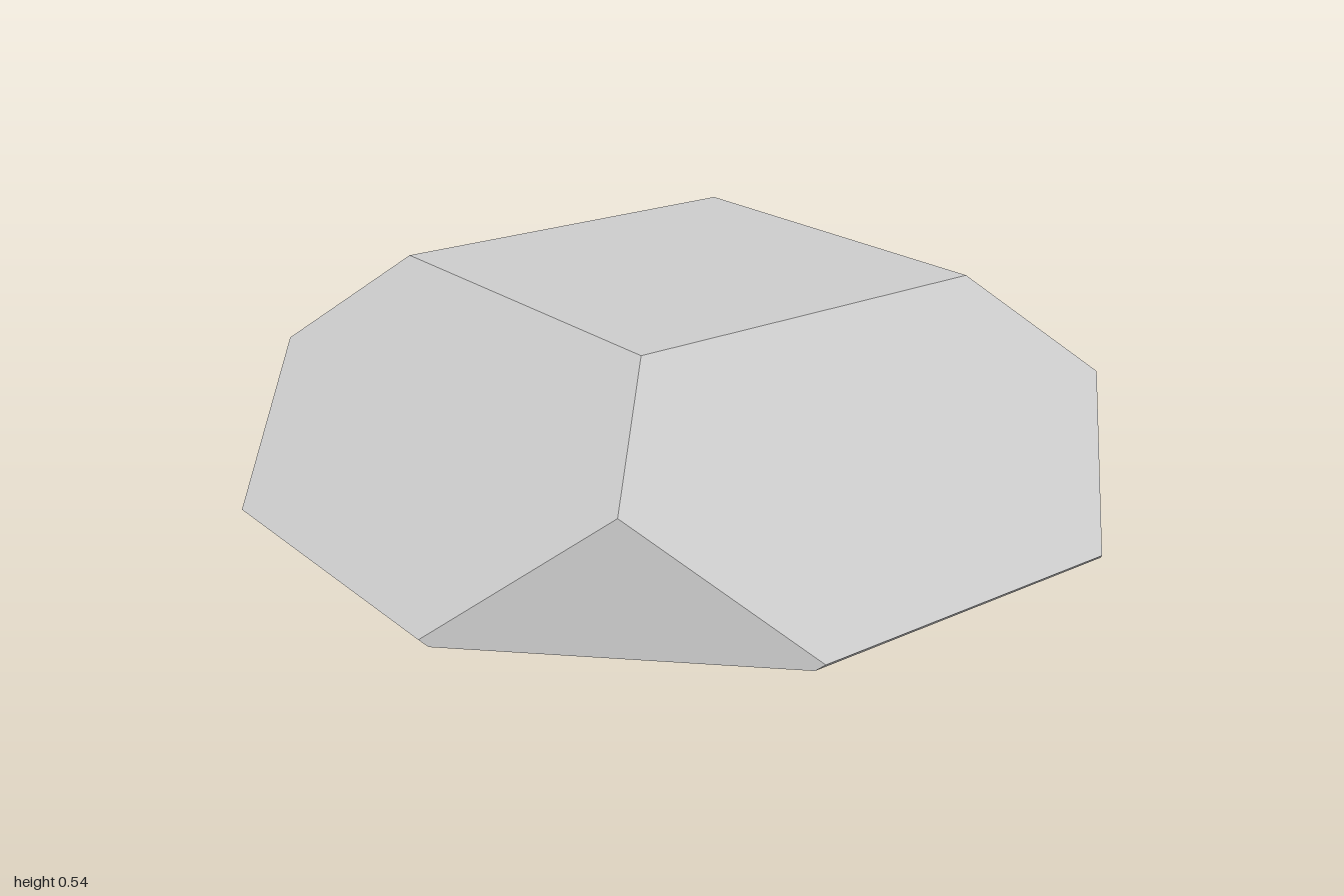
import * as THREE from 'three';
import { ConvexGeometry } from 'three/addons/geometries/ConvexGeometry.js';

export function createModel() {
  const rim = 0.015; // height of the widest outline
  const top = 0.48; // half width of the flat top
  const diagonal = Math.SQRT2; // upright corner planes: |x| + |z| = diagonal
  const corner = diagonal / 2;
  // All sloping sides rise at 45 degrees
  const heightAt = (x) => rim + 1 - x;

  const points = [];
  for (const sx of [-1, 1]) {
    for (const sz of [-1, 1]) {
      const add = (x, y, z) => points.push(new THREE.Vector3(sx * x, y, sz * z));
      // Square top and the tips of the corner triangles
      add(top, heightAt(top), top);
      add(corner, heightAt(corner), corner);
      // Octagonal rim, then the base drawn slightly inward
      for (const [x, y] of [[1, rim], [1 - rim, 0]]) {
        add(x, y, diagonal - x);
        add(diagonal - x, y, x);
      }
    }
  }

  const material = new THREE.MeshStandardMaterial({ color: 0xcccccc, flatShading: true });
  const stone = new THREE.Mesh(new ConvexGeometry(points), material);
  stone.name = 'facetedBlock';

  const group = new THREE.Group();
  group.name = 'facetedStone';
  group.add(stone);
  return group;
}
